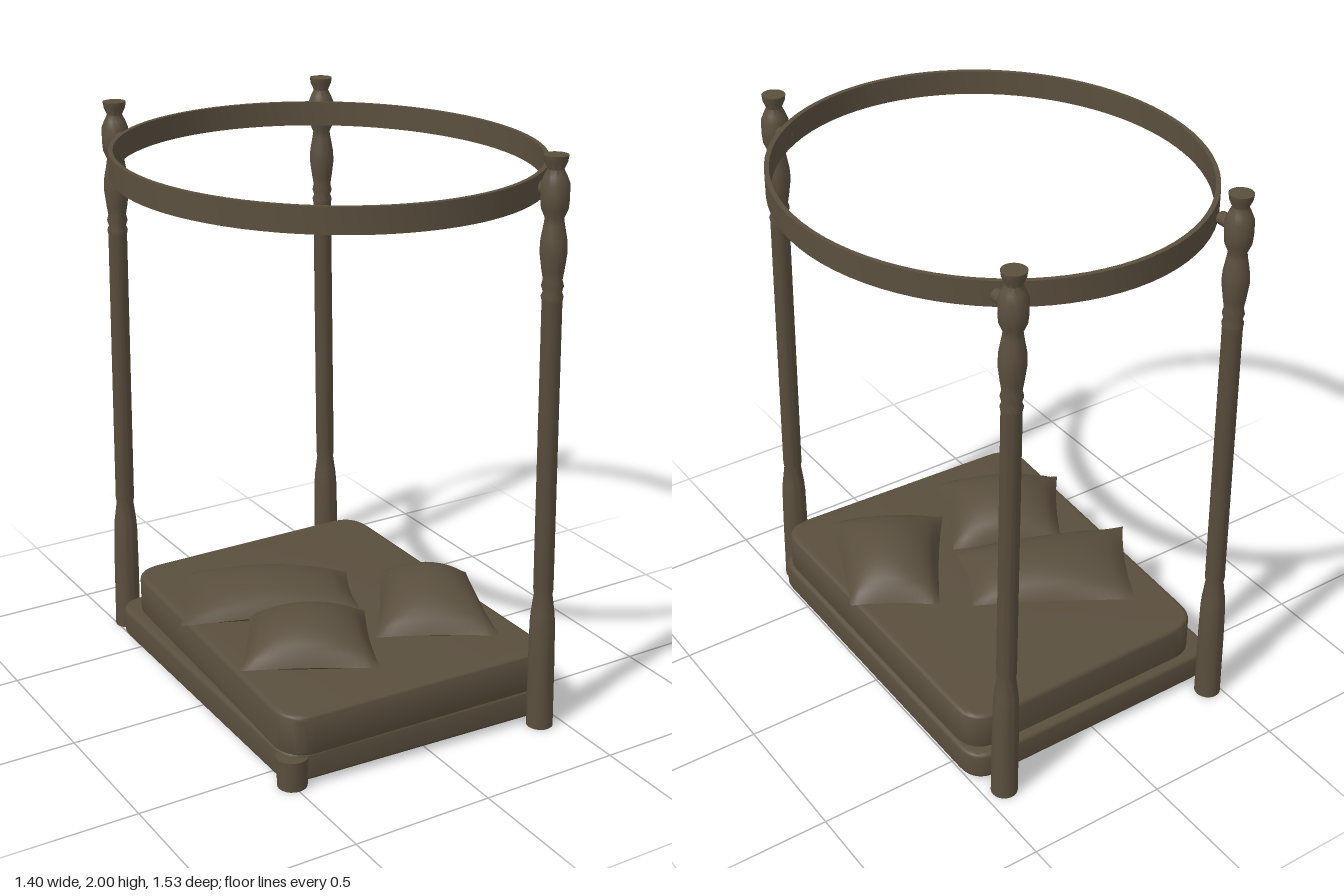
import * as THREE from 'three';
import { toCreasedNormals } from 'three/addons/utils/BufferGeometryUtils.js';

const wood = new THREE.MeshStandardMaterial({ color: 0x5a4f3e });
wood.name = 'dark brown';

function part(name, geometry, parent) {
  const mesh = new THREE.Mesh(geometry, wood);
  mesh.name = name;
  parent.add(mesh);
  return mesh;
}

// Slab from four [x, z] corners, with rounded corners and soft top and bottom edges
function slab(corners, y0, y1, radius, bevel) {
  const pts = corners.map(([x, z]) => new THREE.Vector2(
    x - Math.sign(x) * bevel, -(z - Math.sign(z) * bevel)));
  const shape = new THREE.Shape();
  pts.forEach((p, i) => {
    const toward = (q) => p.clone().add(q.clone().sub(p).setLength(radius));
    const a = toward(pts[(i + 3) % 4]);
    const b = toward(pts[(i + 1) % 4]);
    if (i === 0) shape.moveTo(a.x, a.y); else shape.lineTo(a.x, a.y);
    shape.quadraticCurveTo(p.x, p.y, b.x, b.y);
  });
  shape.closePath();
  const g = new THREE.ExtrudeGeometry(shape, {
    depth: y1 - y0 - 2 * bevel, bevelThickness: bevel, bevelSize: bevel,
    bevelSegments: 4, curveSegments: 8,
  });
  g.rotateX(-Math.PI / 2).translate(0, y0 + bevel, 0);
  return toCreasedNormals(g, 0.7);
}

// Turned post profile: [radius, height]
const postProfile = [
  [0, 0], [0.046, 0], [0.045, 0.26], [0.043, 0.39], [0.040, 0.43], [0.031, 0.50],
  [0.034, 0.52], [0.033, 1.53], [0.036, 1.545], [0.030, 1.56], [0.036, 1.58],
  [0.031, 1.60], [0.036, 1.63], [0.044, 1.69], [0.042, 1.73], [0.033, 1.78],
  [0.030, 1.80], [0.043, 1.83], [0.046, 1.86], [0.046, 1.91], [0.036, 1.935],
  [0.026, 1.955], [0.037, 1.98], [0.040, 2.0], [0, 2.0],
];

function createPost(x, z, lean) {
  const post = new THREE.Group();
  const g = new THREE.LatheGeometry(postProfile.map(([r, y]) => new THREE.Vector2(r, y)), 24);
  const p = g.attributes.position;
  for (let i = 0; i < p.count; i++) p.setX(i, p.getX(i) + lean * p.getY(i));
  part('turnedPost', toCreasedNormals(g, 0.9), post);

  // Short peg joining the post head to the ring
  const peg = part('ringPeg', new THREE.CylinderGeometry(0.022, 0.022, 0.09, 12), post);
  peg.rotation.x = Math.PI / 2;
  peg.position.set(lean * 1.88, 1.88, -Math.sign(z) * 0.04);
  post.position.set(x, 0, z);
  return post;
}

// Cushion stretched between four [x, z] corners, ordered around from the back
function createPillow(c, seamY, topY) {
  const pillow = new THREE.Group();
  for (const side of [1, -1]) {
    const g = new THREE.PlaneGeometry(2, 2, 18, 18).rotateX(-side * Math.PI / 2);
    const p = g.attributes.position;
    const height = side > 0 ? topY - seamY : -0.04;
    for (let i = 0; i < p.count; i++) {
      const u0 = p.getX(i), v0 = p.getZ(i);
      const fu = Math.max(0, 1 - u0 * u0), fv = Math.max(0, 1 - v0 * v0);
      const u = u0 * (1 - 0.05 * fv), v = v0 * (1 - 0.05 * fu);
      const w = [(1 - u) * (1 - v), (1 + u) * (1 - v), (1 + u) * (1 + v), (1 - u) * (1 + v)];
      const at = (k) => w.reduce((s, wi, j) => s + wi * c[j][k], 0) / 4;
      p.setXYZ(i, at(0), seamY + height * Math.pow(fu * fv, 0.6), at(1));
    }
    g.computeVertexNormals();
    part(side > 0 ? 'pillowTop' : 'pillowUnderside', g, pillow);
  }
  return pillow;
}

export function createModel() {
  const bed = new THREE.Group();
  bed.name = 'posterBed';

  // Bed base and mattress
  part('bedBase', slab([[-0.535, 0.64], [0.51, 0.69], [0.51, -0.655], [-0.525, -0.655]], 0.02, 0.125, 0.08, 0.015), bed);
  part('mattress', slab([[-0.535, 0.645], [0.495, 0.685], [0.495, -0.62], [-0.475, -0.62]], 0.11, 0.26, 0.09, 0.018), bed);

  // Three tall posts, and a short foot at the remaining corner
  const posts = [
    ['frontLeftPost', 0.425, 0.71, -0.018],
    ['backLeftPost', 0.425, -0.708, -0.012],
    ['backRightPost', -0.46, -0.708, 0.015],
  ];
  for (const [name, x, z, lean] of posts) {
    const post = createPost(x, z, lean);
    post.name = name;
    bed.add(post);
  }
  const foot = part('frontRightFoot', new THREE.CylinderGeometry(0.055, 0.05, 0.11, 20), bed);
  foot.position.set(-0.498, 0.055, 0.605);

  // Oval canopy ring
  const band = [[0.978, 1.84], [1, 1.84], [1, 1.925], [0.978, 1.925], [0.978, 1.84]];
  const ring = new THREE.LatheGeometry(band.map(([r, y]) => new THREE.Vector2(r, y)), 80);
  ring.scale(0.702, 1, 0.765);
  part('canopyRing', toCreasedNormals(ring, 0.6), bed);

  // Scattered pillows
  const pillows = [
    ['longPillow', [[-0.33, -0.44], [0.17, -0.14], [0.05, 0.16], [-0.555, -0.07]], 0.29, 0.38],
    ['rightPillow', [[-0.31, -0.015], [0.055, 0.165], [-0.125, 0.55], [-0.535, 0.325]], 0.295, 0.41],
    ['leftPillow', [[0.27, -0.075], [0.535, 0.1], [0.35, 0.57], [-0.025, 0.36]], 0.295, 0.415],
  ];
  for (const [name, corners, seam, top] of pillows) {
    const pillow = createPillow(corners, seam, top);
    pillow.name = name;
    bed.add(pillow);
  }
  return bed;
}
